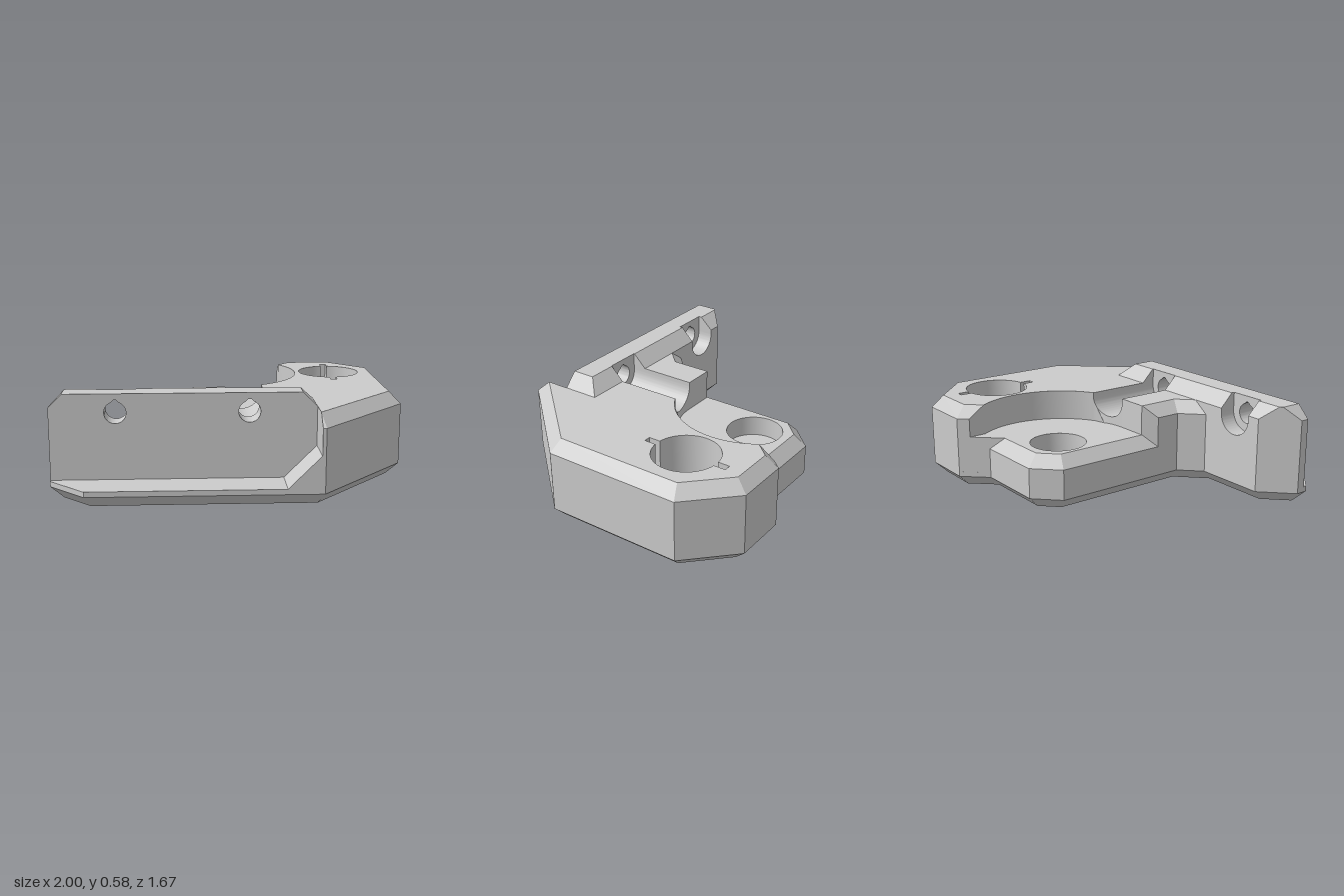
import * as THREE from 'three';
import { toCreasedNormals } from 'three/addons/utils/BufferGeometryUtils.js';

const material = new THREE.MeshStandardMaterial({ color: 0xcccccc });
const BEVEL = 0.068;
const WALL_BACK = 0.39, WALL_FRONT = 0.61, LEDGE = 0.1, SLOT_R = 0.11, SLOT_Y = 0.475;
const RECESS = { x: -0.02, z: -0.42, r: 0.47 };

const v2 = (list) => list.map(([x, z]) => new THREE.Vector2(x, z));

// Moves each edge of a plan outline inwards by its own distance.
function inset(points, distances) {
  const n = points.length;
  const normal = (i) => {
    const d = points[(i + 1) % n].clone().sub(points[i]).normalize();
    return new THREE.Vector2(-d.y, d.x);
  };
  return points.map((p, i) => {
    const h = (i + n - 1) % n, a = normal(h), b = normal(i);
    const da = distances[h] || 0, db = distances[i] || 0, det = a.cross(b);
    if (Math.abs(det) < 1e-3) return p.clone().addScaledVector(b, db);
    return new THREE.Vector2(p.x + (da * b.y - db * a.y) / det, p.y + (a.x * db - b.x * da) / det);
  });
}

// Solid stacked from plan outlines [points, y], with vertical holes.
function loft(rings, holes = []) {
  const pos = [];
  const tri = (...corners) => corners.forEach(([p, y]) => pos.push(p.x, y, p.y));
  const band = (lo, y0, hi, y1) => lo.forEach((a, i) => {
    const j = (i + 1) % lo.length;
    tri([a, y0], [hi[j], y1], [lo[j], y0]);
    tri([a, y0], [hi[i], y1], [hi[j], y1]);
  });
  const cap = (points, y, up) => {
    const all = [points, ...holes].flat();
    for (const [i, j, k] of THREE.ShapeUtils.triangulateShape(points.slice(), holes.map((h) => h.slice()))) {
      const facesDown = all[j].clone().sub(all[i]).cross(all[k].clone().sub(all[i])) > 0;
      const [q, r] = facesDown === up ? [k, j] : [j, k];
      tri([all[i], y], [all[q], y], [all[r], y]);
    }
  };
  for (let i = 0; i + 1 < rings.length; i++) band(...rings[i], ...rings[i + 1]);
  const [bottom, y0] = rings[0], [top, y1] = rings[rings.length - 1];
  cap(bottom, y0, false);
  cap(top, y1, true);
  holes.forEach((h) => band(h, y0, h, y1));
  const g = new THREE.BufferGeometry();
  g.setAttribute('position', new THREE.Float32BufferAttribute(pos, 3));
  g.computeVertexNormals();
  return toCreasedNormals(g, 0.4);
}

// Block with straight sides and a bevel along chosen top edges.
const bevelled = (points, distances, y0, y1, y2, holes) =>
  loft([[points, y0], [points, y1], [inset(points, distances), y2]], holes);

function arc(cx, cz, r, from, to, steps) {
  return Array.from({ length: steps + 1 }, (_, i) => {
    const a = from + (to - from) * i / steps;
    return new THREE.Vector2(cx + r * Math.cos(a), cz + r * Math.sin(a));
  });
}

// Extrusion along z between two depths.
function extrudeZ(shape, z0, z1) {
  const g = new THREE.ExtrudeGeometry(shape, { depth: z1 - z0, bevelEnabled: false, curveSegments: 24 });
  return g.translate(0, 0, z0);
}

// Rounded channel bottom: a block with a half-round cut in its top.
function channelShape(x) {
  const s = new THREE.Shape();
  s.moveTo(x - SLOT_R, LEDGE);
  s.lineTo(x + SLOT_R, LEDGE);
  s.lineTo(x + SLOT_R, SLOT_Y);
  s.absarc(x, SLOT_Y, SLOT_R, 0, -Math.PI, true);
  return s;
}

// Wall panel with a round bore that has a small relief at its top.
function borePanelShape(x) {
  const s = new THREE.Shape();
  s.moveTo(x - SLOT_R, LEDGE);
  s.lineTo(x + SLOT_R, LEDGE);
  s.lineTo(x + SLOT_R, 0.58);
  s.lineTo(x - SLOT_R, 0.58);
  const hole = new THREE.Path();
  hole.absarc(x, SLOT_Y, 0.06, Math.PI * 0.62, Math.PI * 2.38, false);
  hole.lineTo(x + 0.008, 0.545);
  hole.lineTo(x - 0.008, 0.545);
  s.holes.push(hole);
  return s;
}

export function createModel() {
  const model = new THREE.Group();
  model.name = 'mountingBracket';
  const add = (name, geometry) => {
    const mesh = new THREE.Mesh(geometry, material);
    mesh.name = name;
    model.add(mesh);
    return mesh;
  };

  // Base plate with bevelled underside and flat-sided through hole
  const outline = v2([[-0.28, -0.56], [-0.14, -0.70], [0.29, -0.70], [0.42, -0.84], [0.74, -0.84],
    [1, -0.58], [1, 0.25], [0.48, 0.83], [-0.80, 0.83], [-1, 0.63], [-1, 0.56], [-0.83, 0.39],
    [-0.40, 0.39], [-0.28, 0.27]]);
  const hx = 0.67, hz = -0.42, hr = 0.19;
  const flatHole = arc(hx, hz, hr, Math.PI * 2, 0, 64).slice(1);
  flatHole.forEach((p) => { p.x = THREE.MathUtils.clamp(p.x, hx - 0.11, hx + 0.11); });
  add('basePlate', loft([[inset(outline, outline.map(() => 0.07)), 0], [outline, 0.07], [outline, LEDGE]], [flatHole]));

  // Low deck inside the round recess, with a blind hole
  const arcStart = -0.59, arcCut = Math.acos(0.22 / RECESS.r);
  const deck = [
    ...v2([[-0.28, 0.12], [-0.28, -0.56], [-0.14, -0.70], [0.29, -0.70], [0.37, -0.785]]),
    ...arc(RECESS.x, RECESS.z, RECESS.r, arcStart, Math.PI / 2, 36),
    ...v2([[-0.21, 0.05]]),
  ];
  const blindHole = arc(RECESS.x, RECESS.z, 0.165, Math.PI * 2, 0, 48).slice(1);
  add('recessDeck', bevelled(deck, [BEVEL, BEVEL, BEVEL], LEDGE, 0.25, 0.32, [blindHole]));
  add('blindHoleFloor', new THREE.CylinderGeometry(0.165, 0.165, 0.1, 48).translate(RECESS.x, 0.15, RECESS.z));

  // Main block with a keyed round hole
  const main = [
    ...v2([[0.37, -0.785], [0.42, -0.84], [0.74, -0.84], [1, -0.58], [1, 0.25], [0.48, 0.83],
      [0.46, 0.83], [0.46, WALL_BACK], [0.2, WALL_BACK]]),
    ...arc(RECESS.x, RECESS.z, RECESS.r, arcCut, arcStart, 24),
  ];
  const key = Math.asin(0.02 / hr), half = Math.PI / 2;
  const keyedHole = [
    ...arc(hx, hz, hr, -half + key, half - key, 28),
    ...v2([[hx + 0.02, hz + 0.26], [hx - 0.02, hz + 0.26]]),
    ...arc(hx, hz, hr, half + key, 3 * half - key, 28),
    ...v2([[hx - 0.02, hz - 0.26], [hx + 0.02, hz - 0.26]]),
  ].reverse();
  add('mainBlock', bevelled(main, [BEVEL, BEVEL, BEVEL, BEVEL, BEVEL, 0.08], LEDGE, 0.43, 0.5, [keyedHole]));

  // Small block between recess and wall
  const side = v2([[-0.02, 0.05], [-0.02, WALL_BACK], [-0.40, WALL_BACK], [-0.28, 0.27], [-0.28, 0.12], [-0.21, 0.05]]);
  add('sideBlock', bevelled(side, [0, 0, BEVEL, BEVEL], LEDGE, 0.43, 0.5));

  // Upright wall, in solid stretches between the two screw slots
  const stretch = (x0, x1, rightBevel) => bevelled(
    v2([[x0, WALL_BACK], [x1, WALL_BACK], [x1, WALL_FRONT], [x0, WALL_FRONT]]),
    [0.08, rightBevel], LEDGE, 0.5, 0.58);
  const wallEnd = v2([[-1, WALL_FRONT], [-1, 0.56], [-0.83, WALL_BACK], [-0.75, WALL_BACK], [-0.75, WALL_FRONT]]);
  add('wallRightEnd', bevelled(wallEnd, [0.075, 0, 0.08], LEDGE, 0.505, 0.58));
  add('wallMiddle', stretch(-0.53, -0.02, 0));
  add('wallLeftEnd', stretch(0.2, 0.46, 0.08));

  // Screw slots: half-round channel behind, bored panel in front
  for (const [x, back, seat] of [[-0.64, WALL_BACK, 0.49], [0.09, 0, 0.475]]) {
    const channel = extrudeZ(channelShape(x), back, seat);
    if (back === 0) {
      // the long channel runs out into the round recess
      const p = channel.attributes.position;
      for (let i = 0; i < p.count; i++) {
        if (p.getZ(i) < 0.01) p.setZ(i, RECESS.z + Math.sqrt(RECESS.r ** 2 - (p.getX(i) - RECESS.x) ** 2));
      }
    }
    add('screwChannel', toCreasedNormals(channel, 0.4));
    add('borePanel', toCreasedNormals(extrudeZ(borePanelShape(x), seat, WALL_FRONT), 0.4));
  }

  // Sloping end of the front ledge
  const wedge = new THREE.Shape(v2([[0.28, LEDGE], [0.46, LEDGE], [0.46, 0.28]]));
  add('ledgeRamp', extrudeZ(wedge, WALL_FRONT, 0.83));

  return model;
}
